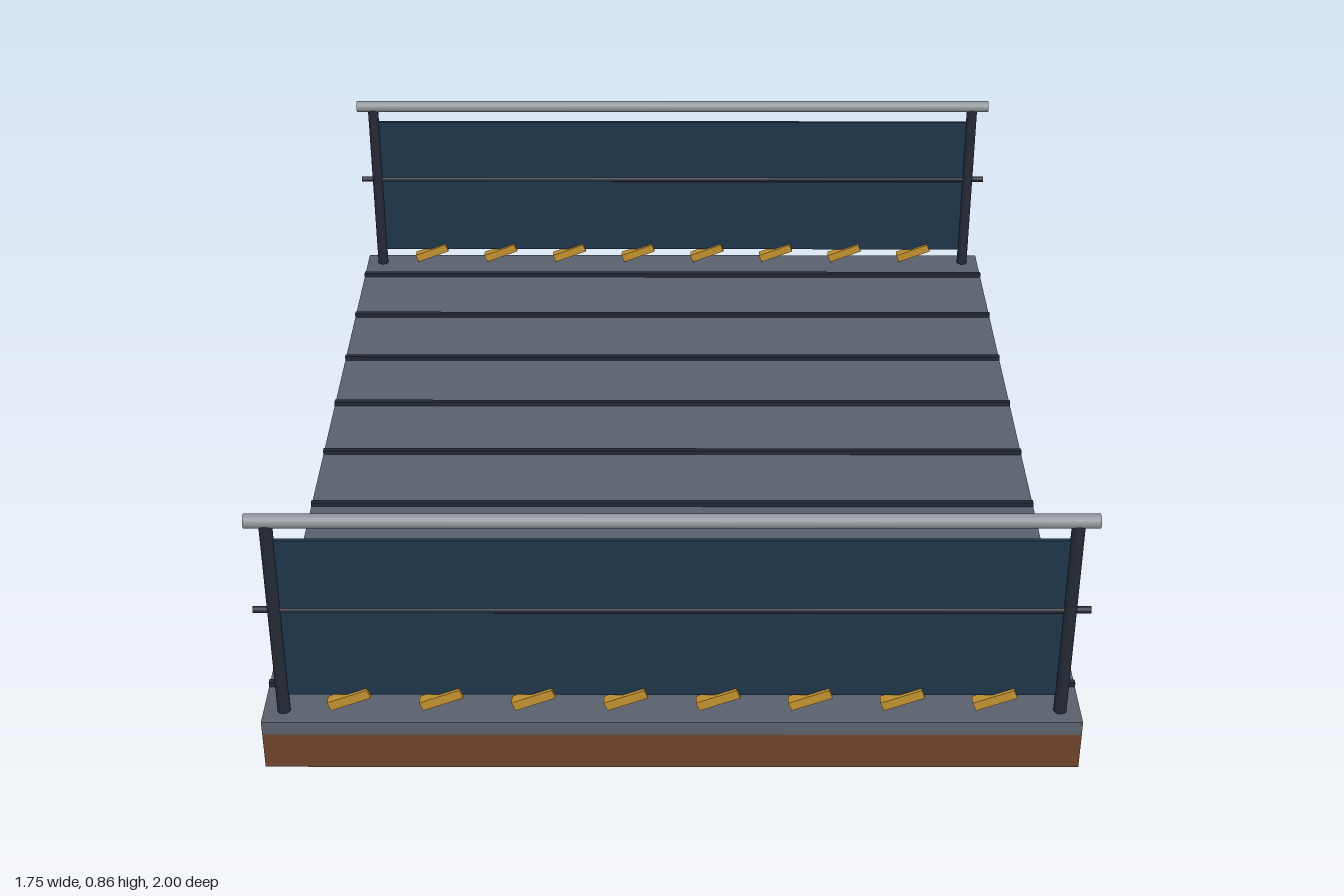
import * as THREE from 'three';

const mat = (color) => new THREE.MeshStandardMaterial({ color });

export function createModel() {
  const model = new THREE.Group();
  model.name = 'bridgeDeckSection';

  const slate = mat(0x59606c), steel = mat(0x4f5866), dark = mat(0x232934);
  const brown = mat(0x6e422c), glass = mat(0x1d3549), gold = mat(0xc0902f);
  const silver = mat(0x8d9398);

  const add = (parent, name, geometry, material, x = 0, y = 0, z = 0) => {
    const mesh = new THREE.Mesh(geometry, material);
    mesh.name = name;
    mesh.position.set(x, y, z);
    parent.add(mesh);
    return mesh;
  };
  const box = (w, h, d) => new THREE.BoxGeometry(w, h, d);
  const rod = (r, len) => new THREE.CylinderGeometry(r, r, len, 20);

  // Deck slab with raised seams
  add(model, 'deck', box(1.6, 0.03, 2), slate, 0, 0.385, 0);
  for (let i = -4; i <= 4; i++) {
    add(model, 'deckSeam', box(1.6, 0.012, 0.012), dark, 0, 0.404, i * 0.22);
  }

  // Cross beams under the deck
  for (const z of [-0.64, 0, 0.64]) {
    add(model, 'crossBeam', box(1.6, 0.08, 0.032), steel, 0, 0.305, z);
  }

  // Zigzag bracing
  for (const side of [-1, 1]) {
    for (const [x, turn] of [[0.6, 1], [0.2, -1]]) {
      const brace = add(model, 'diagonalBrace', box(0.024, 0.024, 0.96), dark, side * x, 0.28, 0);
      brace.rotation.y = side * turn * 0.588;
    }
  }

  // Hanging lamp
  const lamp = new THREE.Group();
  lamp.name = 'lamp';
  model.add(lamp);
  add(lamp, 'lampStem', rod(0.011, 0.25), dark, 0, 0.225, 0);
  add(lamp, 'lampShade', new THREE.CylinderGeometry(0.094, 0.05, 0.1, 32), steel, 0, 0.06, 0);
  add(lamp, 'lampLens', new THREE.CylinderGeometry(0.085, 0.085, 0.012, 32), silver, 0, 0.006, 0);

  // Edge beam and railing on the front and back
  for (const side of [-1, 1]) {
    add(model, 'edgeBeam', box(1.6, 0.08, 0.036), brown, 0, 0.33, side * 0.982);

    const railing = new THREE.Group();
    railing.name = side > 0 ? 'frontRailing' : 'backRailing';
    railing.position.z = side * 0.96;
    model.add(railing);

    add(railing, 'handrail', rod(0.014, 1.6), silver, 0, 0.842, 0).rotation.z = Math.PI / 2;
    add(railing, 'midRail', rod(0.007, 1.6), dark, 0, 0.64, 0).rotation.z = Math.PI / 2;
    add(railing, 'panel', box(1.5, 0.36, 0.008), glass, 0, 0.62, 0);
    for (const x of [-0.76, 0.76]) {
      add(railing, 'post', rod(0.013, 0.44), dark, x, 0.62, 0);
    }
    // Tilted slats below the panel
    for (let i = 0; i < 8; i++) {
      const slat = add(railing, 'slat', box(0.085, 0.02, 0.022), gold, (i - 3.5) * 0.18, 0.431, 0);
      slat.rotation.z = 0.37;
    }
  }
  return model;
}
